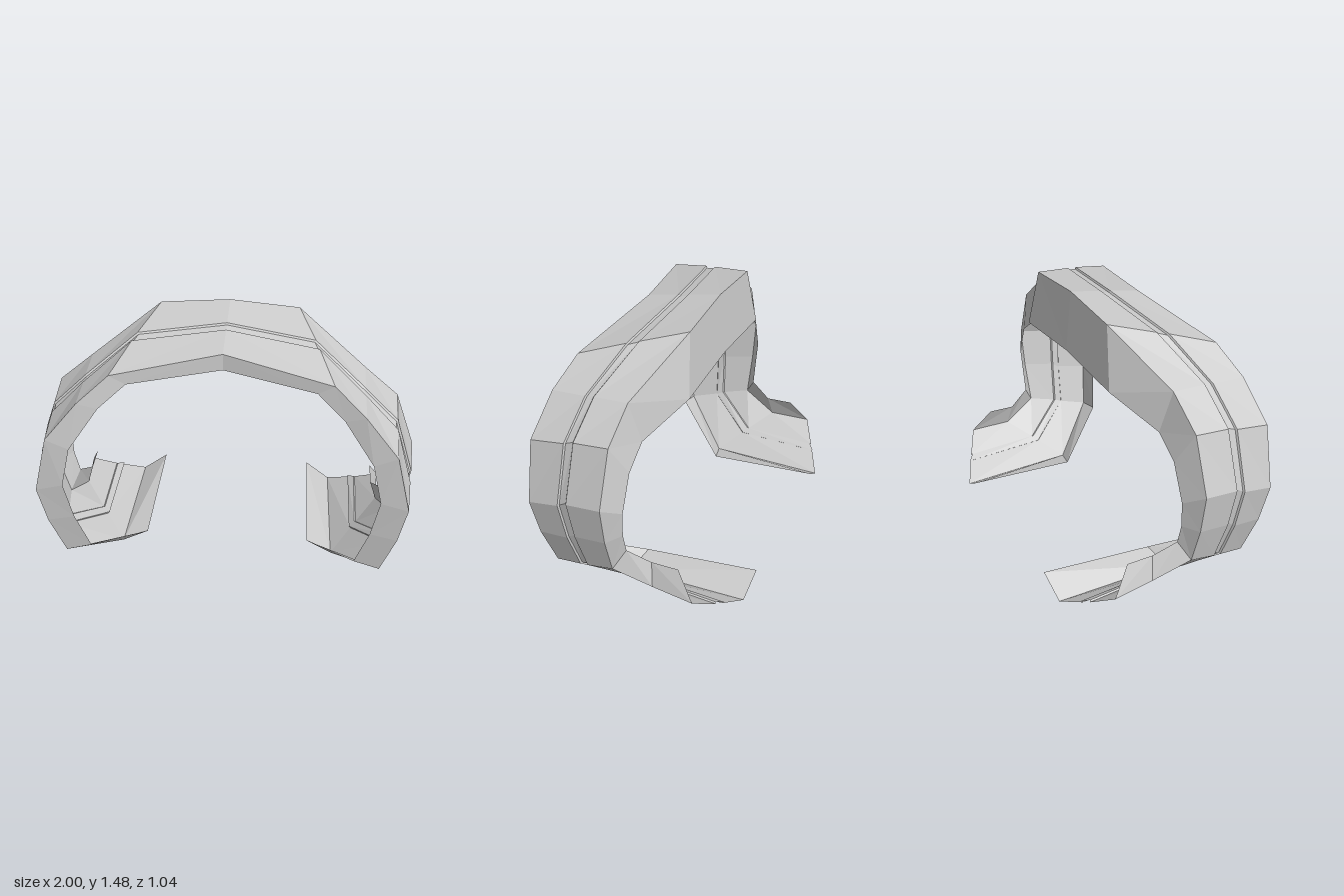
import * as THREE from 'three';

// Rails run from the crown of the arch (x = 0) down the left side to the tip of the foot.
const rearInner = [[0, 1.15, -0.13], [0.44, 1.12, -0.13], [0.68, 0.98, 0.01], [0.81, 0.88, 0.015], [0.89, 0.68, 0.02],
  [0.885, 0.53, 0.03], [0.86, 0.41, 0.03], [0.82, 0.34, -0.09], [0.82, 0.35, -0.24]];
const rearOuter = [[0, 1.48, -0.1], [0.36, 1.45, -0.1], [0.71, 1.21, 0.06], [0.89, 1.06, 0.075], [1, 0.76, 0.08],
  [0.97, 0.53, 0.085], [0.91, 0.3, 0.09], [0.86, 0.21, -0.11], [0.88, 0.21, -0.345]];
const grooveRear = [[0, 1.44, 0.08], [0.45, 1.39, 0.13], [0.71, 1.195, 0.245], [0.885, 1.03, 0.27], [0.985, 0.72, 0.28],
  [0.955, 0.49, 0.27], [0.895, 0.25, 0.25], [0.75, 0.12, 0.01], [0.755, 0.12, -0.42]];
const grooveFront = [[0, 1.43, 0.135], [0.47, 1.375, 0.19], [0.71, 1.185, 0.295], [0.885, 1.01, 0.325], [0.98, 0.69, 0.335],
  [0.95, 0.46, 0.32], [0.885, 0.23, 0.3], [0.72, 0.095, 0.04], [0.72, 0.1, -0.44]];
const frontOuter = [[0, 1.39, 0.31], [0.55, 1.305, 0.42], [0.71, 1.17, 0.48], [0.88, 0.97, 0.52], [0.965, 0.64, 0.515],
  [0.93, 0.42, 0.495], [0.86, 0.18, 0.46], [0.61, 0, 0.16], [0.59, 0.03, -0.51]];
const frontInner = [[0, 1.3, 0.31], [0.47, 1.25, 0.405], [0.61, 1.13, 0.455], [0.765, 0.91, 0.51], [0.82, 0.68, 0.515],
  [0.785, 0.45, 0.49], [0.72, 0.22, 0.455], [0.47, 0.045, 0.12], [0.45, 0.13, -0.525]];

// Sinks a rail slightly towards the middle of the arch
const sink = (rail, dz) => rail.map(([x, y, z]) => {
  const d = Math.hypot(x, y - 0.7);
  return [x - (x / d) * 0.01, y - ((y - 0.7) / d) * 0.01, z + dz];
});

// Completes a rail with its mirror image
const mirror = (rail) => [...rail.slice(1).reverse().map(([x, y, z]) => [-x, y, z]), ...rail];

// Stretches a faceted surface between neighbouring rails
function skin(name, rails) {
  const full = rails.map(mirror);
  const pos = [];
  for (let r = 0; r < full.length - 1; r++) {
    const a = full[r], b = full[r + 1];
    for (let i = 0; i < a.length - 1; i++) {
      // Quads split symmetrically on both sides of the crown
      if (i < 8) pos.push(...a[i], ...b[i], ...a[i + 1], ...b[i], ...b[i + 1], ...a[i + 1]);
      else pos.push(...a[i], ...b[i], ...b[i + 1], ...a[i], ...b[i + 1], ...a[i + 1]);
    }
  }
  const geo = new THREE.BufferGeometry();
  geo.setAttribute('position', new THREE.Float32BufferAttribute(pos, 3));
  geo.computeVertexNormals();
  const mesh = new THREE.Mesh(geo, new THREE.MeshStandardMaterial({
    color: 0xcccccc, flatShading: true, side: THREE.DoubleSide,
  }));
  mesh.name = name;
  return mesh;
}

export function createModel() {
  const group = new THREE.Group();
  group.name = 'archShell';
  group.add(
    skin('rearFlange', [rearInner, rearOuter]),
    skin('rearBand', [rearOuter, grooveRear]),
    skin('groove', [grooveRear, sink(grooveRear, 0.006), sink(grooveFront, -0.006), grooveFront]),
    skin('frontBand', [grooveFront, frontOuter]),
    skin('frontFlange', [frontOuter, frontInner]),
  );
  return group;
}
